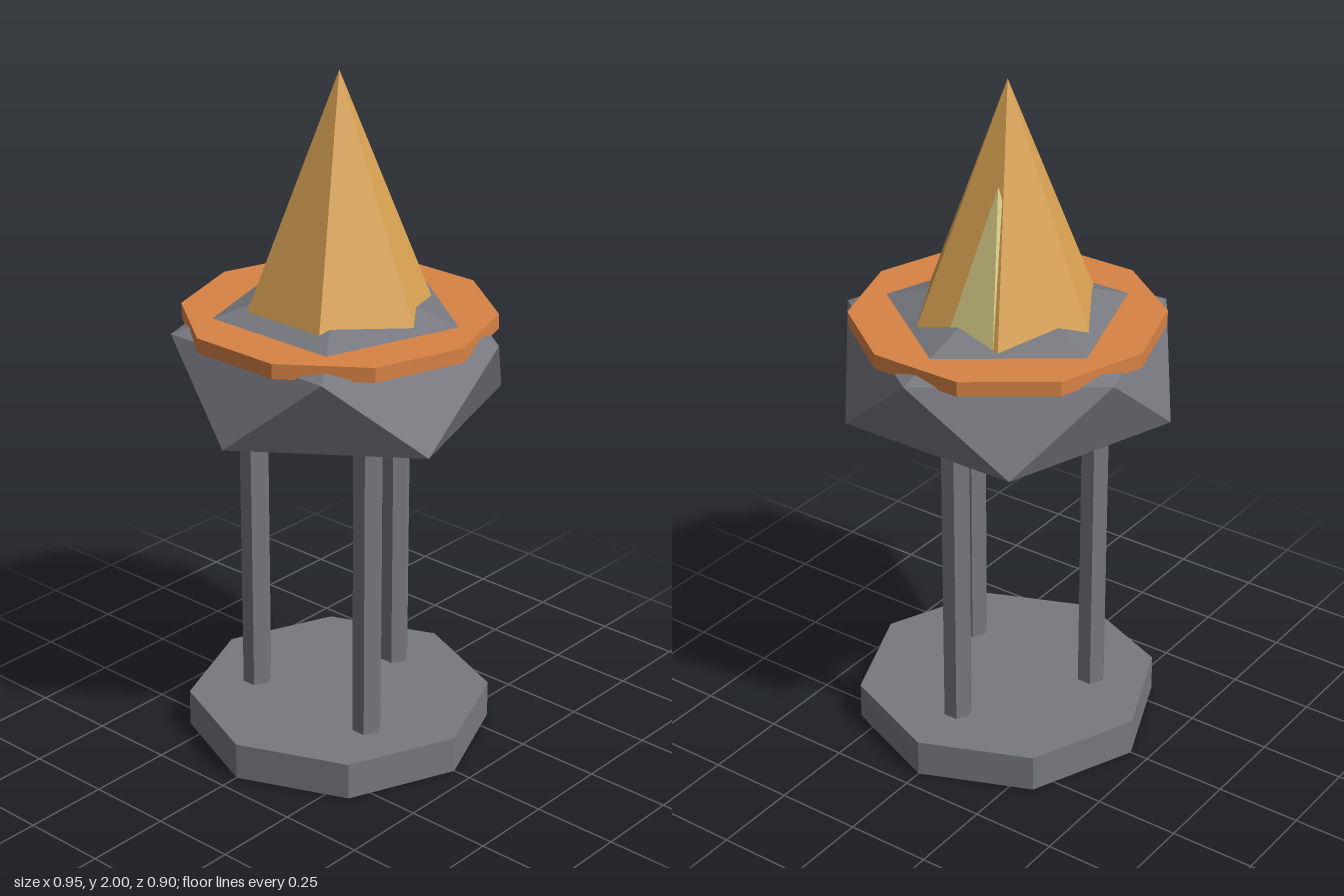
import * as THREE from 'three';

const mat = (name, color) => {
  const m = new THREE.MeshStandardMaterial({ color, flatShading: true });
  m.name = name;
  return m;
};

export function createModel() {
  const group = new THREE.Group();
  const stone = mat('grey stone', 0x787880);
  const copper = mat('copper orange', 0xd88345);
  const amber = mat('amber', 0xdaa353);
  const pale = mat('pale yellow', 0xd9ce86);

  const add = (name, geometry, material, x, y, z) => {
    const mesh = new THREE.Mesh(geometry, material);
    mesh.name = name;
    mesh.position.set(x, y, z);
    group.add(mesh);
    return mesh;
  };
  // Prism or cone standing between two heights
  const column = (name, rTop, rBottom, y0, y1, sides, material, x = 0, z = 0) =>
    add(name, new THREE.CylinderGeometry(rTop, rBottom, y1 - y0, sides), material, x, (y0 + y1) / 2, z);

  // Octagonal foot
  column('base', 0.444, 0.444, 0, 0.11, 8, stone);

  // Three legs around the centre
  for (let i = 0; i < 3; i++) {
    const a = (i * Math.PI * 2) / 3;
    column('leg', 0.043, 0.043, 0.1, 1.06, 6, stone, 0.25 * Math.cos(a), 0.25 * Math.sin(a));
  }

  // Flattened rock: icosahedron turned to stand on a point
  const rock = new THREE.IcosahedronGeometry(0.531, 0);
  rock.rotateZ(-Math.atan(2 / (1 + Math.sqrt(5))));
  rock.scale(1, 0.5, 1);
  add('rock', rock, stone, 0, 1.16, 0);

  // Ten-sided collar
  column('collar', 0.445, 0.445, 1.272, 1.315, 10, copper);

  // Large crystal and the small one growing from its side
  column('crystal', 0, 0.282, 1.3, 2, 6, amber);
  column('sideCrystal', 0, 0.161, 1.3, 1.735, 6, pale, 0.105, -0.044);

  return group;
}
